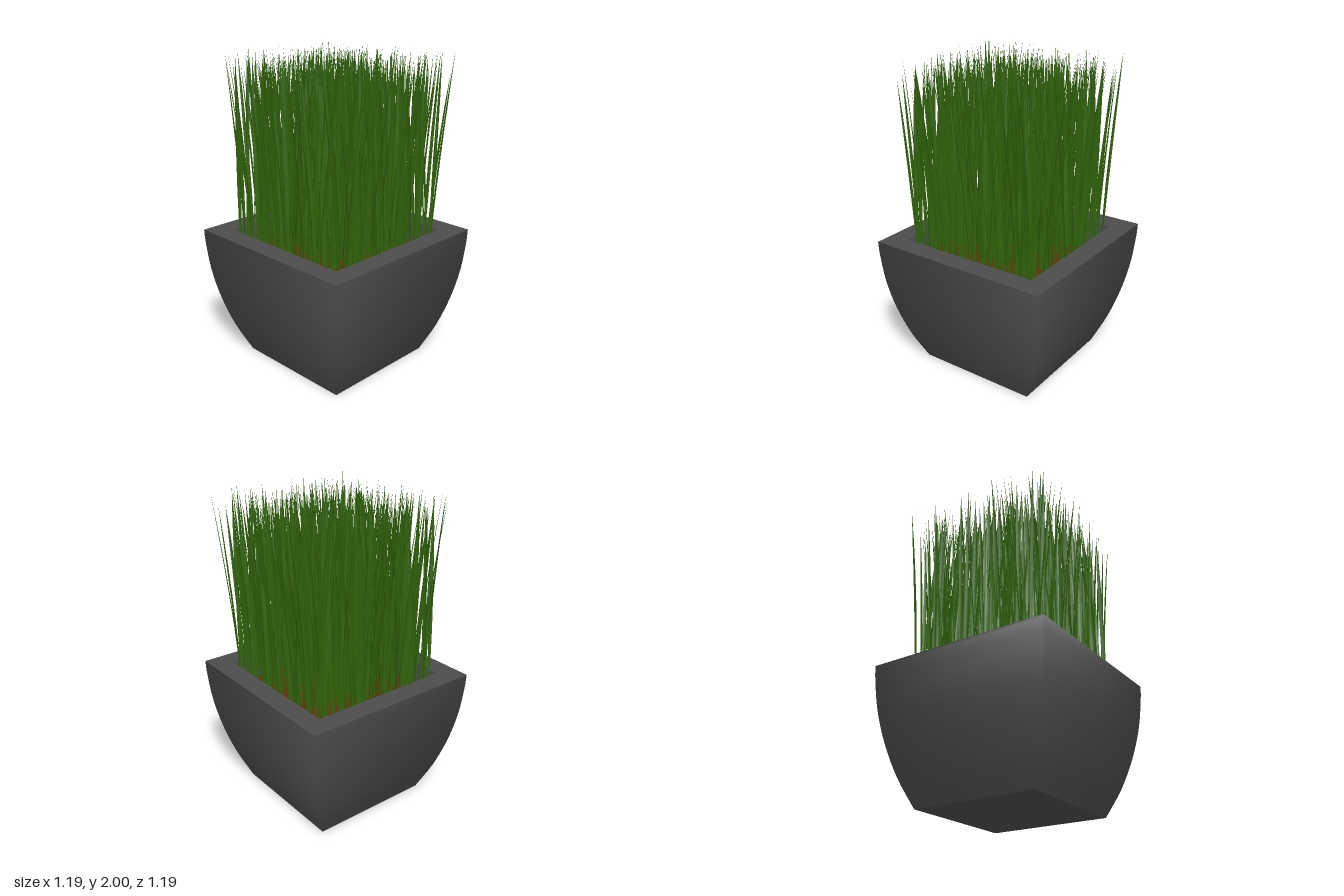
import * as THREE from 'three';
import { mergeGeometries } from 'three/addons/utils/BufferGeometryUtils.js';

const potMaterial = new THREE.MeshStandardMaterial({ color: 0x4c4c4c });
const soilMaterial = new THREE.MeshStandardMaterial({ color: 0x662b08 });
const grassMaterial = new THREE.MeshStandardMaterial({ color: 0x30620a, side: THREE.DoubleSide });

// Small seeded generator for the grass
function seeded(seed) {
  return () => {
    seed = (seed * 1664525 + 1013904223) >>> 0;
    return seed / 4294967296;
  };
}

// Grid surface from rows of points; closed joins the last column to the first
function gridGeometry(rows, closed) {
  const n = rows[0].length;
  const index = [];
  for (let r = 0; r < rows.length - 1; r++) {
    for (let c = 0; c < (closed ? n : n - 1); c++) {
      const a = r * n + c, b = r * n + (c + 1) % n;
      index.push(a, a + n, b, b, a + n, b + n);
    }
  }
  const geometry = new THREE.BufferGeometry();
  geometry.setAttribute('position', new THREE.Float32BufferAttribute(rows.flat(2), 3));
  geometry.setIndex(index);
  geometry.computeVertexNormals();
  return geometry;
}

// Square section of half width h at height y
const square = (h, y) => [[h, y, h], [-h, y, h], [-h, y, -h], [h, y, -h]];

function named(name, geometry, material) {
  const mesh = new THREE.Mesh(geometry, material);
  mesh.name = name;
  return mesh;
}

function horizontalPlane(size, y, down = false) {
  return new THREE.PlaneGeometry(size, size).rotateX(down ? Math.PI / 2 : -Math.PI / 2).translate(0, y, 0);
}

// Folded leaf blade, rising almost straight and leaning over towards its tip
function bladeGeometry(x, z, base, top, angle, lean, width) {
  const rows = [];
  const dx = Math.cos(angle), dz = Math.sin(angle);
  for (let i = 0; i <= 6; i++) {
    const t = i / 6;
    const out = lean * t ** 1.4;
    const half = width / 2 * (i === 6 ? 0 : 0.3 + 0.7 * Math.sin(Math.PI * t ** 0.8));
    const y = base + (top - base) * t;
    rows.push([-1, 0, 1].map(s => {
      const fold = out - (s === 0 ? half * 0.45 : 0);
      return [x + dx * fold - dz * half * s, y, z + dz * fold + dx * half * s];
    }));
  }
  return gridGeometry(rows, false);
}

export function createModel() {
  const model = new THREE.Group();
  model.name = 'pottedGrass';

  const height = 0.86, inner = 0.465, soilHalf = 0.447, soilY = 0.72;

  // Pot: curved square wall, base, flat rim and tapered inner wall
  const pot = new THREE.Group();
  pot.name = 'pot';
  const profile = new THREE.SplineCurve([
    [0.398, 0], [0.475, 0.18], [0.535, 0.38], [0.574, 0.58], [0.593, 0.77], [0.597, height],
  ].map(p => new THREE.Vector2(...p)));
  const wall = profile.getPoints(20).map(p => square(p.x, p.y));
  pot.add(named('potWall', gridGeometry(wall, true), potMaterial));
  pot.add(named('potBase', horizontalPlane(0.796, 0, true), potMaterial));

  const rimShape = new THREE.Shape(square(0.597, 0).map(p => new THREE.Vector2(p[0], p[2])));
  rimShape.holes.push(new THREE.Path(square(inner, 0).map(p => new THREE.Vector2(p[0], p[2]))));
  const rim = new THREE.ShapeGeometry(rimShape).rotateX(-Math.PI / 2).translate(0, height, 0);
  pot.add(named('potRim', rim, potMaterial));

  const lining = gridGeometry([square(inner, height), square(soilHalf, soilY)], true).toNonIndexed();
  lining.computeVertexNormals();
  pot.add(named('potInnerWall', lining, potMaterial));
  model.add(pot);

  // Soil
  model.add(named('soil', horizontalPlane(soilHalf * 2, soilY), soilMaterial));

  // Grass: blades scattered over a jittered grid
  const random = seeded(17);
  const blades = [];
  const count = 25, cell = 0.9 / count;
  const scatter = i => THREE.MathUtils.clamp(-0.45 + cell * (i - 0.8 + random() * 2.6), -0.448, 0.448);
  for (let i = 0; i < count; i++) {
    for (let j = 0; j < count; j++) {
      const top = 1.995 - 0.13 * random() ** 1.3;
      const lean = 0.07 + 0.055 * random();
      const width = 0.02 + 0.007 * random();
      blades.push(bladeGeometry(scatter(i), scatter(j), soilY, top, random() * Math.PI * 2, lean, width));
    }
  }
  // One blade reaches full height
  blades.push(bladeGeometry(0.02, 0.03, soilY, 2, 1, 0.08, 0.022));
  model.add(named('grassBlades', mergeGeometries(blades), grassMaterial));

  return model;
}
